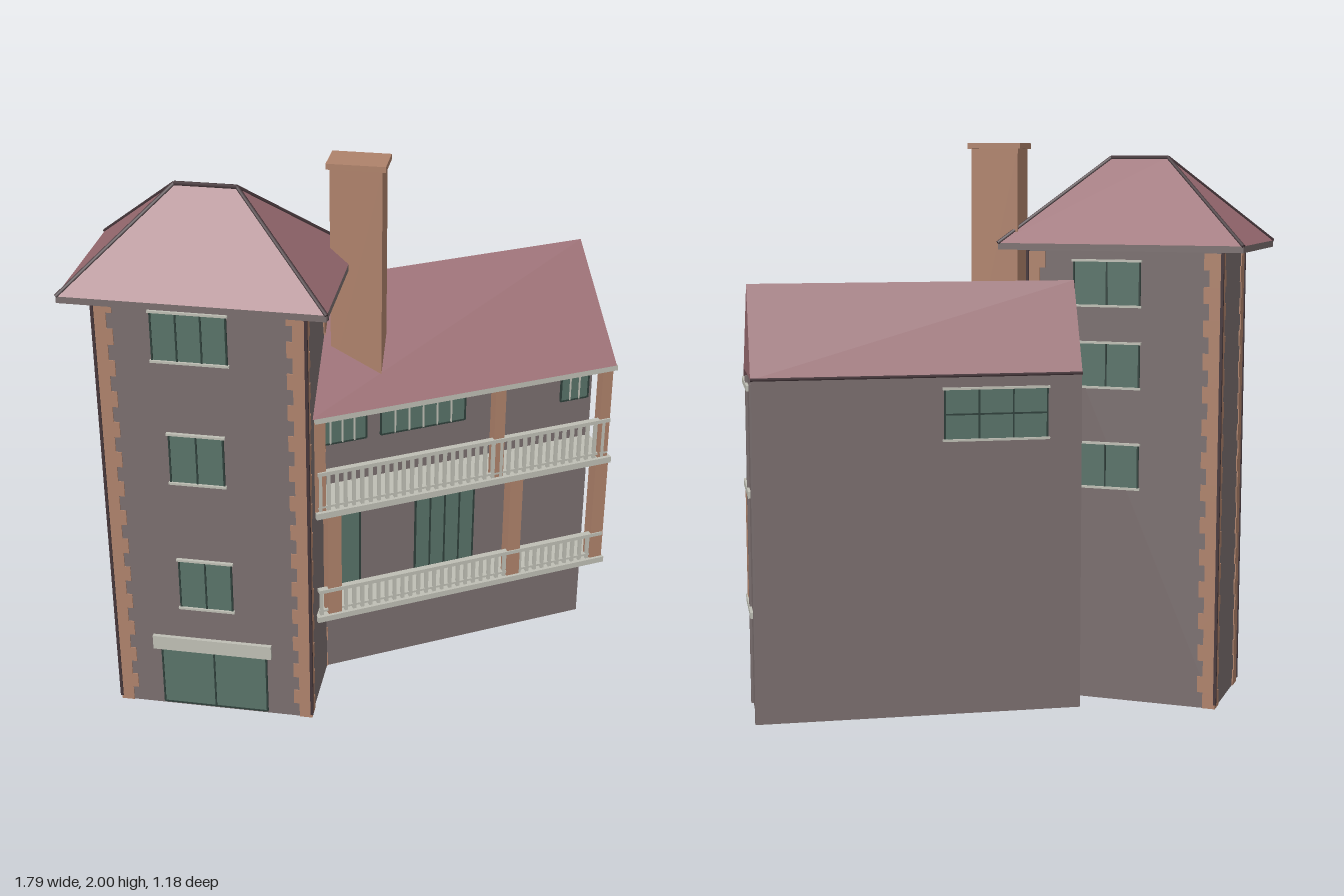
import * as THREE from 'three';
import { ConvexGeometry } from 'three/addons/geometries/ConvexGeometry.js';

const mat = (name, color) => {
  const m = new THREE.MeshStandardMaterial({ color });
  m.name = name;
  return m;
};
const wallMat = mat('grey plaster', 0x7a6e6e);
const roofMat = mat('red roof', 0x986a70);
const brickMat = mat('brick', 0xae826b);
const trimMat = mat('pale stone', 0xbebeb4);
const glassMat = mat('green glass', 0x587268);
const frameMat = mat('dark green frame', 0x2f403b);
const darkMat = mat('dark trim', 0x45363a);

function add(parent, name, geometry, material, x = 0, y = 0, z = 0) {
  const m = new THREE.Mesh(geometry, material);
  m.name = name;
  m.position.set(x, y, z);
  parent.add(m);
  return m;
}

// Box given by its two opposite corners
function block(parent, name, material, [x0, y0, z0], [x1, y1, z1]) {
  return add(parent, name, new THREE.BoxGeometry(x1 - x0, y1 - y0, z1 - z0), material,
    (x0 + x1) / 2, (y0 + y1) / 2, (z0 + z1) / 2);
}

// Round bar from point a to point b
function bar(parent, name, material, a, b, r) {
  const p = new THREE.Vector3(...a), q = new THREE.Vector3(...b);
  const d = q.clone().sub(p);
  const m = add(parent, name, new THREE.CylinderGeometry(r, r, d.length(), 6), material);
  m.position.copy(p).add(q).multiplyScalar(0.5);
  m.quaternion.setFromUnitVectors(new THREE.Vector3(0, 1, 0), d.normalize());
}

// Hollow walls, open at the bottom and top
function shell(parent, name, x0, x1, z0, z1, height, t) {
  const rect = (C, i) => {
    const s = new C();
    s.moveTo(x0 + i, -z1 + i);
    s.lineTo(x1 - i, -z1 + i);
    s.lineTo(x1 - i, -z0 - i);
    s.lineTo(x0 + i, -z0 - i);
    s.closePath();
    return s;
  };
  const shape = rect(THREE.Shape, 0);
  shape.holes.push(rect(THREE.Path, t));
  const g = new THREE.ExtrudeGeometry(shape, { depth: height, bevelEnabled: false });
  g.rotateX(-Math.PI / 2);
  add(parent, name, g, wallMat);
}

// Glazed opening lying on a wall at depth z; back = true turns it to face -z
function opening(parent, name, x0, x1, y0, y1, z, { cols = 2, rows = 1, back = false, sill = true, bars = frameMat } = {}) {
  const g = new THREE.Group();
  g.name = name;
  g.position.set((x0 + x1) / 2, (y0 + y1) / 2, z);
  if (back) g.rotation.y = Math.PI;
  parent.add(g);
  const w = x1 - x0, h = y1 - y0, f = 0.006;
  block(g, 'glass', glassMat, [-w / 2, -h / 2, -0.002], [w / 2, h / 2, 0.004]);
  for (let i = 0; i <= cols; i++) {
    const x = -w / 2 + (w * i) / cols;
    block(g, 'upright', i % cols ? bars : frameMat, [x - f / 2, -h / 2, 0], [x + f / 2, h / 2, 0.007]);
  }
  for (let j = 0; j <= rows; j++) {
    const y = -h / 2 + (h * j) / rows;
    block(g, 'crossbar', j % rows ? bars : frameMat, [-w / 2, y - f / 2, 0], [w / 2, y + f / 2, 0.006]);
  }
  if (sill) for (const s of [-1, 1])
    block(g, s < 0 ? 'sill' : 'lintel', trimMat, [-w / 2 - 0.008, s * h / 2 - 0.004, 0], [w / 2 + 0.008, s * h / 2 + 0.004, 0.012]);
}

function buildTower() {
  const tower = new THREE.Group();
  tower.name = 'tower';
  const X0 = -0.8, X1 = -0.1, Z0 = 0.12, Z1 = 0.49;
  shell(tower, 'towerWalls', X0, X1, Z0, Z1, 1.63, 0.02);

  // Toothed brick corners and slim corner pipes
  const n = 28, h = 1.62 / n;
  for (const [cx, sx] of [[X0, 1], [X1, -1]]) for (const [cz, sz] of [[Z0, 1], [Z1, -1]]) {
    for (let i = 0; i < n; i++) {
      const a = i % 2 ? 0.062 : 0.042, b = i % 2 ? 0.042 : 0.058, o = 0.004;
      add(tower, 'cornerBrick', new THREE.BoxGeometry(a + o, h, 0.02), brickMat,
        cx + sx * (a - o) / 2, h * (i + 0.5), cz + sz * (0.01 - o));
      add(tower, 'cornerBrick', new THREE.BoxGeometry(0.02, h, b + o), brickMat,
        cx + sx * (0.01 - o), h * (i + 0.5), cz + sz * (b - o) / 2);
    }
    add(tower, 'cornerPipe', new THREE.BoxGeometry(0.01, 1.61, 0.01), darkMat, cx - sx * 0.003, 0.82, cz - sz * 0.003);
  }

  // Front openings
  opening(tower, 'topWindow', -0.61, -0.36, 1.4, 1.58, Z1, { cols: 3 });
  opening(tower, 'upperWindow', -0.57, -0.385, 0.94, 1.13, Z1);
  opening(tower, 'lowerWindow', -0.56, -0.375, 0.43, 0.63, Z1);
  opening(tower, 'door', -0.64, -0.26, 0.01, 0.25, Z1, { sill: false });
  block(tower, 'doorInside', glassMat, [-0.64, 0.01, Z1 - 0.025], [-0.26, 0.25, Z1 - 0.018]);
  block(tower, 'doorLintel', trimMat, [-0.67, 0.245, Z1 - 0.01], [-0.24, 0.3, Z1 + 0.014]);
  // Back stair windows
  for (const y of [1.51, 1.22, 0.86])
    opening(tower, 'stairWindow', -0.51, -0.27, y - 0.08, y + 0.08, Z0, { back: true });

  // Hipped roof with dark ridge caps
  const x0 = -0.89, x1 = -0.012, z0 = 0.035, z1 = 0.582, zm = 0.308, y0 = 1.65, y1 = 1.95;
  block(tower, 'eaves', wallMat, [x0, 1.627, z0], [x1, y0, z1]);
  const corners = [[x0, y0, z0], [x0, y0, z1], [x1, y0, z0], [x1, y0, z1]];
  const ridge = [[-0.558, y1, zm], [-0.35, y1, zm]];
  add(tower, 'towerRoof', new ConvexGeometry([...corners, ...ridge].map(p => new THREE.Vector3(...p))), roofMat);
  corners.forEach((c, i) => bar(tower, 'hipCap', darkMat, c, ridge[i >> 1], 0.007));
  bar(tower, 'ridgeCap', darkMat, ridge[0], ridge[1], 0.008);
  return tower;
}

// Wing in its own frame: x runs along it, z points to the balconies
function buildWing() {
  const wing = new THREE.Group();
  wing.name = 'wing';
  wing.rotation.y = Math.PI / 6;
  const L = -0.289, R = 0.862, back = -0.18, front = 0.103;
  shell(wing, 'wingWalls', L, R - 0.004, back, front, 1.2, 0.02);
  for (const z of [back, front - 0.022])
    block(wing, 'endPost', wallMat, [R - 0.02, 0, z], [R + 0.004, 1.19, z + 0.022]);

  // Uneven gable roof, long slope over the balconies
  const s = new THREE.Shape();
  [[0.285, 1.166], [-0.045, 1.52], [-0.187, 1.205], [0.24, 1.2]]
    .forEach(([z, y], i) => (i ? s.lineTo(-z, y) : s.moveTo(-z, y)));
  s.closePath();
  const g = new THREE.ExtrudeGeometry(s, { depth: R - L, bevelEnabled: false });
  g.rotateY(Math.PI / 2);
  add(wing, 'wingRoof', g, roofMat, L, 0, 0);
  bar(wing, 'rearGutter', darkMat, [L, 1.205, -0.185], [R, 1.205, -0.185], 0.006);

  // Balcony floors and ceiling: end edges run back past the wall corner
  for (const [y, h] of [[0.335, 0.022], [0.767, 0.024], [1.145, 0.02]]) {
    block(wing, 'balconySlab', trimMat, [L + 0.02, y, front - 0.01], [R, y + h, 0.283]);
    block(wing, 'slabEnd', trimMat, [R - 0.01, y, -0.01], [R + 0.006, y + h, 0.283]);
  }

  // Brick columns
  for (const x of [-0.2, 0.497, 0.838])
    block(wing, 'lowerColumn', brickMat, [x - 0.025, 0.357, 0.222], [x + 0.025, 0.767, 0.272]);
  for (const x of [-0.25, 0.421, 0.838])
    block(wing, 'upperColumn', brickMat, [x - 0.02, 0.79, 0.23], [x + 0.02, 1.146, 0.27]);

  // Railings
  for (const [y0, y1] of [[0.357, 0.457], [0.79, 0.94]]) {
    block(wing, 'topRail', trimMat, [-0.26, y1 - 0.006, 0.254], [0.858, y1 + 0.008, 0.276]);
    block(wing, 'bottomRail', trimMat, [-0.26, y0 + 0.012, 0.26], [0.858, y0 + 0.02, 0.27]);
    for (let x = -0.25; x < 0.85; x += 0.031)
      block(wing, 'baluster', trimMat, [x - 0.006, y0, 0.26], [x + 0.006, y1, 0.271]);
  }

  // Balcony doors and windows
  const plain = { sill: false };
  opening(wing, 'balconyDoor', -0.2, -0.045, 0.357, 0.7, front, { ...plain, cols: 2 });
  opening(wing, 'balconyDoor', 0.173, 0.404, 0.357, 0.7, front, { ...plain, cols: 4 });
  const pale = { ...plain, rows: 2, bars: trimMat };
  opening(wing, 'balconyWindow', -0.2, -0.02, 0.955, 1.143, front, { ...pale, cols: 4 });
  opening(wing, 'balconyWindow', 0.035, 0.358, 0.955, 1.143, front, { ...pale, cols: 6 });
  opening(wing, 'balconyWindow', 0.74, 0.85, 0.955, 1.143, front, { ...pale, cols: 3 });
  opening(wing, 'rearWindow', -0.165, 0.197, 0.98, 1.16, back, { cols: 3, rows: 2, back: true });
  return wing;
}

export function createModel() {
  const house = new THREE.Group();
  house.name = 'house';
  house.add(buildTower(), buildWing());
  // Chimney standing on the wing roof
  block(house, 'chimney', brickMat, [-0.074, 1.2, 0.07], [0.1, 1.982, 0.18]);
  block(house, 'chimneyCap', brickMat, [-0.085, 1.98, 0.062], [0.112, 2, 0.187]);
  return house;
}
